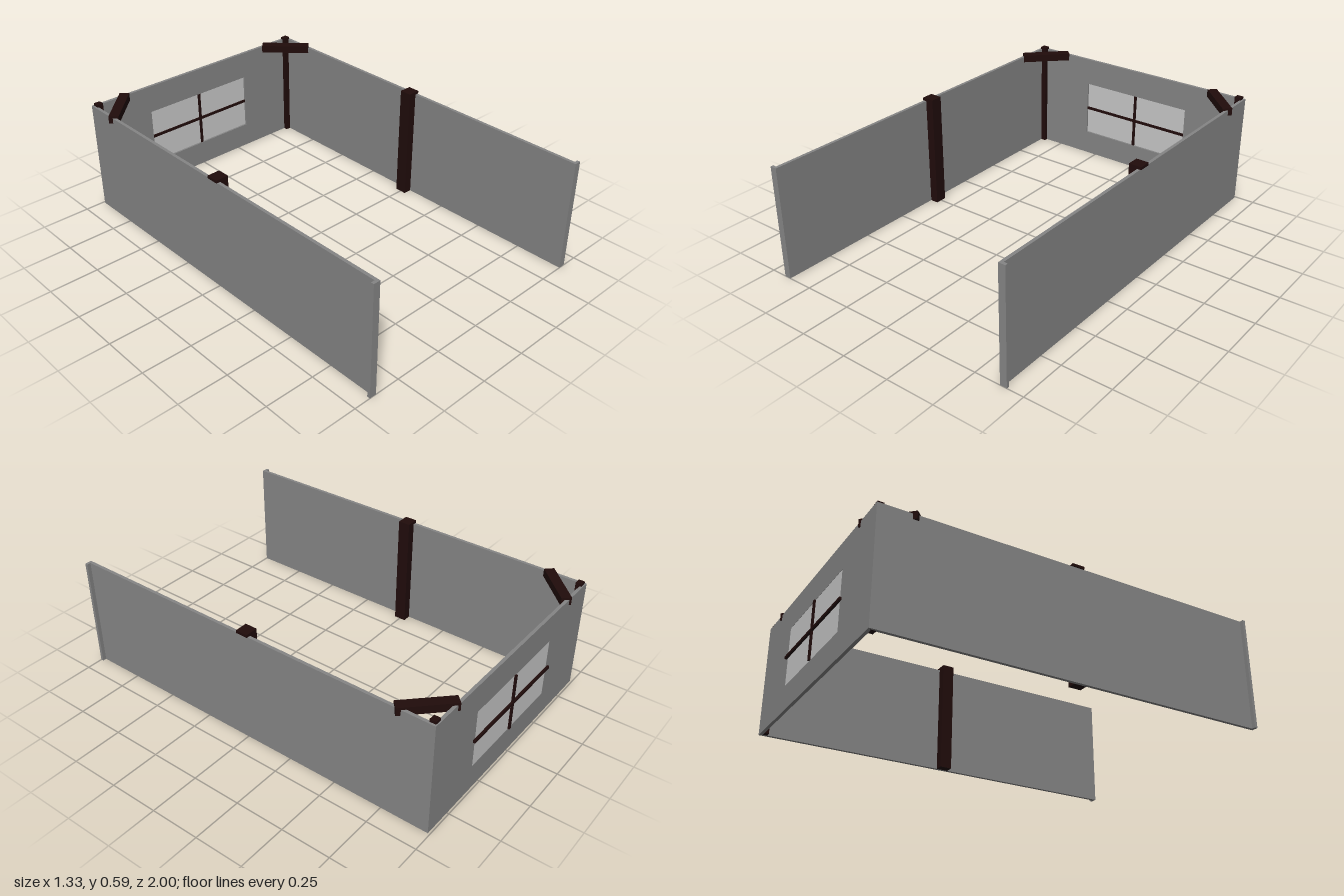
import * as THREE from 'three';

export function createModel() {
  const model = new THREE.Group();
  const wall = new THREE.MeshStandardMaterial({ name: 'grey wall', color: 0x858585 });
  const wood = new THREE.MeshStandardMaterial({ name: 'dark wood', color: 0x200c0b });
  const glass = new THREE.MeshStandardMaterial({ name: 'pale glass', color: 0xc8c8c8 });

  // Box given by its minimum and maximum corners
  function box(name, mat, [x0, y0, z0], [x1, y1, z1], parent = model) {
    const mesh = new THREE.Mesh(new THREE.BoxGeometry(x1 - x0, y1 - y0, z1 - z0), mat);
    mesh.position.set((x0 + x1) / 2, (y0 + y1) / 2, (z0 + z1) / 2);
    mesh.name = name;
    parent.add(mesh);
    return mesh;
  }

  const H = 0.575, X = 0.647, T = 0.016;
  const zBack = -0.99, zIn = -0.974;
  const W = 0.315, Y0 = 0.13, Y1 = 0.43;

  // Back wall with a window opening
  const shape = new THREE.Shape();
  shape.moveTo(-X, 0).lineTo(X, 0).lineTo(X, H).lineTo(-X, H).closePath();
  const hole = new THREE.Path();
  hole.moveTo(-W, Y0).lineTo(-W, Y1).lineTo(W, Y1).lineTo(W, Y0).closePath();
  shape.holes.push(hole);
  const backWall = new THREE.Mesh(
    new THREE.ExtrudeGeometry(shape, { depth: zIn - zBack, bevelEnabled: false }), wall);
  backWall.position.z = zBack;
  backWall.name = 'backWall';
  model.add(backWall);

  // Window pane and crossed glazing bars
  const win = new THREE.Group();
  win.name = 'window';
  model.add(win);
  const yMid = (Y0 + Y1) / 2;
  box('pane', glass, [-W, Y0, -0.989], [W, Y1, -0.984], win);
  box('verticalBar', wood, [-0.007, Y0, -0.998], [0.007, Y1, -0.977], win);
  box('horizontalBar', wood, [-0.33, yMid - 0.007, -1], [0.33, yMid + 0.007, -0.989], win);
  box('horizontalBarInside', wood, [-W, yMid - 0.007, -0.989], [W, yMid + 0.007, -0.977], win);

  for (const s of [-1, 1]) {
    const side = s > 0 ? 'left' : 'right';
    // Box mirrored by side, given with positive x
    const sideBox = (name, mat, a, b) => {
      const mesh = box(side + name, mat, a, b);
      mesh.position.x *= s;
      return mesh;
    };
    // Side wall and the lip at its front edge
    sideBox('Wall', wall, [X - T, 0, zIn], [X, H, 1]);
    sideBox('WallLip', wall, [X, 0, 0.985], [0.666, H, 1]);
    // Middle post, with a head resting on the wall
    sideBox('MiddlePost', wood, [0.588, 0, -0.031], [X - T, H, 0.031]);
    sideBox('MiddlePostHead', wood, [0.588, H, -0.031], [0.652, 0.589, 0.031]);
    // Corner post
    sideBox('CornerPost', wood, [0.604, 0, -0.984], [0.637, 0.588, -0.953]);
    // Diagonal corner brace
    const brace = sideBox('CornerBrace', wood, [0.422, 0.547, -0.913], [0.682, 0.586, -0.863]);
    brace.rotation.y = -s * Math.PI / 4;
  }
  return model;
}
